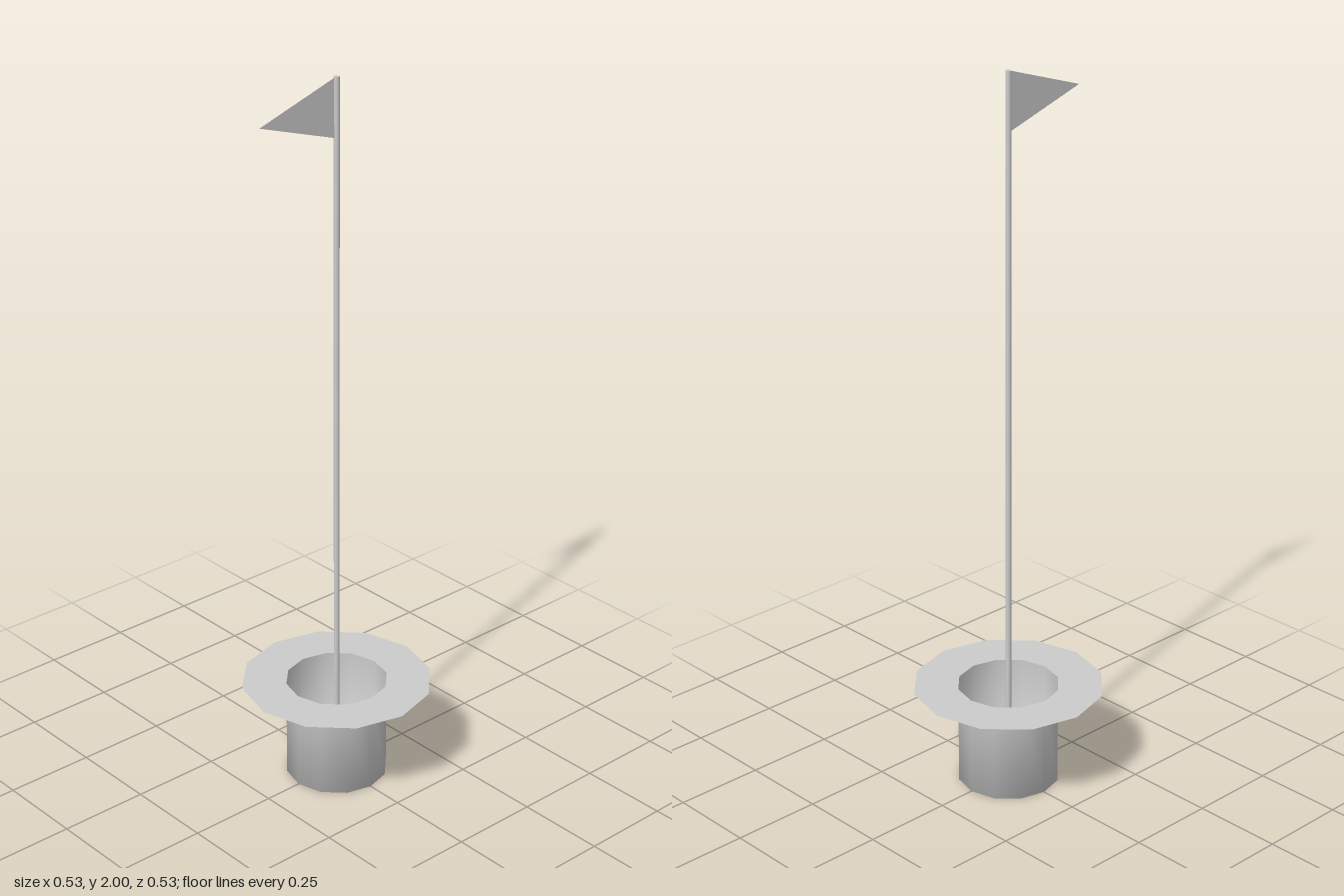
import * as THREE from 'three';

const SIDES = 12;
const CUP_R = 0.141, CUP_H = 0.283, RIM_R = 0.264;
const POLE_R = 0.008, TOP = 2;

export function createModel() {
  const model = new THREE.Group();
  model.name = 'holeWithFlag';
  const material = new THREE.MeshStandardMaterial({ color: 0xcccccc, side: THREE.DoubleSide });

  function add(name, geometry) {
    const mesh = new THREE.Mesh(geometry, material);
    mesh.name = name;
    model.add(mesh);
    return mesh;
  }

  // Thin open cup: floor and wall share smooth normals
  const profile = [[0, 0], [CUP_R, 0], [CUP_R, CUP_H]].map(([x, y]) => new THREE.Vector2(x, y));
  add('cup', new THREE.LatheGeometry(profile, SIDES));

  // Flat collar around the mouth of the cup
  const rim = add('rim', new THREE.RingGeometry(CUP_R, RIM_R, SIDES));
  rim.rotation.x = -Math.PI / 2;
  rim.position.y = CUP_H;

  // Pole standing on the cup floor
  const pole = add('pole', new THREE.CylinderGeometry(POLE_R, POLE_R, TOP, SIDES));
  pole.position.y = TOP / 2;

  // Flat pennant pointing to the right
  const pennant = new THREE.Shape();
  pennant.moveTo(0, TOP);
  pennant.lineTo(-0.25, 1.92);
  pennant.lineTo(0, 1.84);
  pennant.closePath();
  add('flag', new THREE.ShapeGeometry(pennant));

  return model;
}
